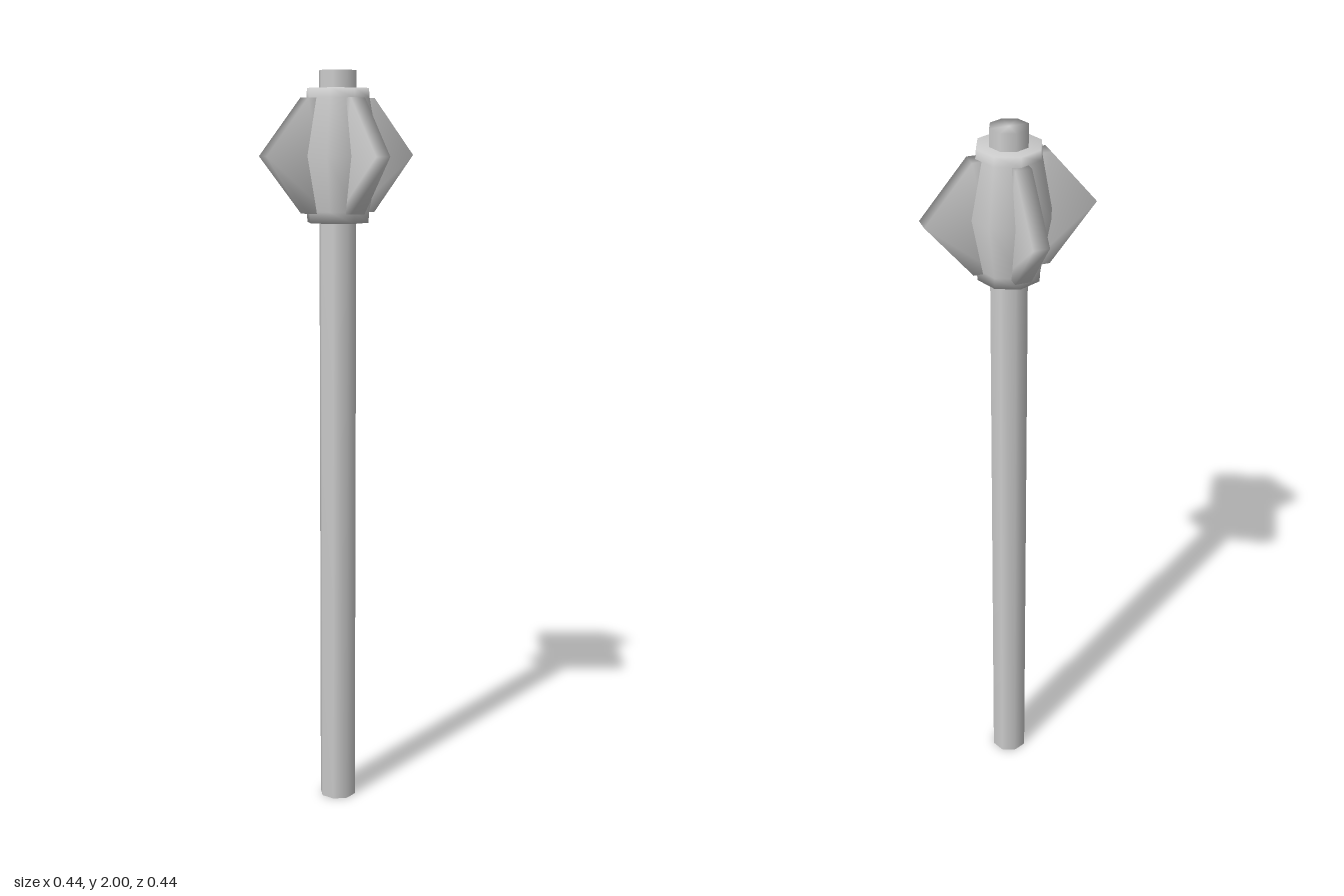
import * as THREE from 'three';
import { mergeVertices } from 'three/addons/utils/BufferGeometryUtils.js';

const SIDES = 8;

// Smooth eight-sided solid turned around the y axis from [radius, y] pairs
function turned(name, profile, material) {
  const points = profile.map(([r, y]) => new THREE.Vector2(r, y));
  const mesh = new THREE.Mesh(new THREE.LatheGeometry(points, SIDES), material);
  mesh.name = name;
  return mesh;
}

// Pointed flange plate, with normals shared across its edges
function flangeGeometry(thickness) {
  const shape = new THREE.Shape([
    [0.04, 1.635], [0.1, 1.635], [0.222, 1.783], [0.1, 1.93], [0.04, 1.93],
  ].map(([x, y]) => new THREE.Vector2(x, y)));
  let geometry = new THREE.ExtrudeGeometry(shape, { depth: thickness, bevelEnabled: false });
  geometry.translate(0, 0, -thickness / 2);
  geometry.deleteAttribute('normal');
  geometry.deleteAttribute('uv');
  geometry = mergeVertices(geometry);
  geometry.computeVertexNormals();
  return geometry;
}

export function createModel() {
  const model = new THREE.Group();
  model.name = 'mace';
  const steel = new THREE.MeshStandardMaterial({ color: 0xcccccc });
  steel.name = 'steel grey';

  // Full-length shaft, its end showing above the head
  model.add(turned('shaft', [[0, 0], [0.05, 0], [0.05, 2], [0, 2]], steel));

  // Bulging core of the head
  model.add(turned('headCore', [
    [0, 1.61], [0.083, 1.61], [0.085, 1.64], [0.112, 1.783],
    [0.085, 1.93], [0.083, 1.955], [0, 1.955],
  ], steel));

  // Four flanges around the core
  const flange = flangeGeometry(0.042);
  for (let i = 0; i < 4; i++) {
    const mesh = new THREE.Mesh(flange, steel);
    mesh.name = `flange${i + 1}`;
    mesh.rotation.y = i * Math.PI / 2;
    model.add(mesh);
  }
  return model;
}
